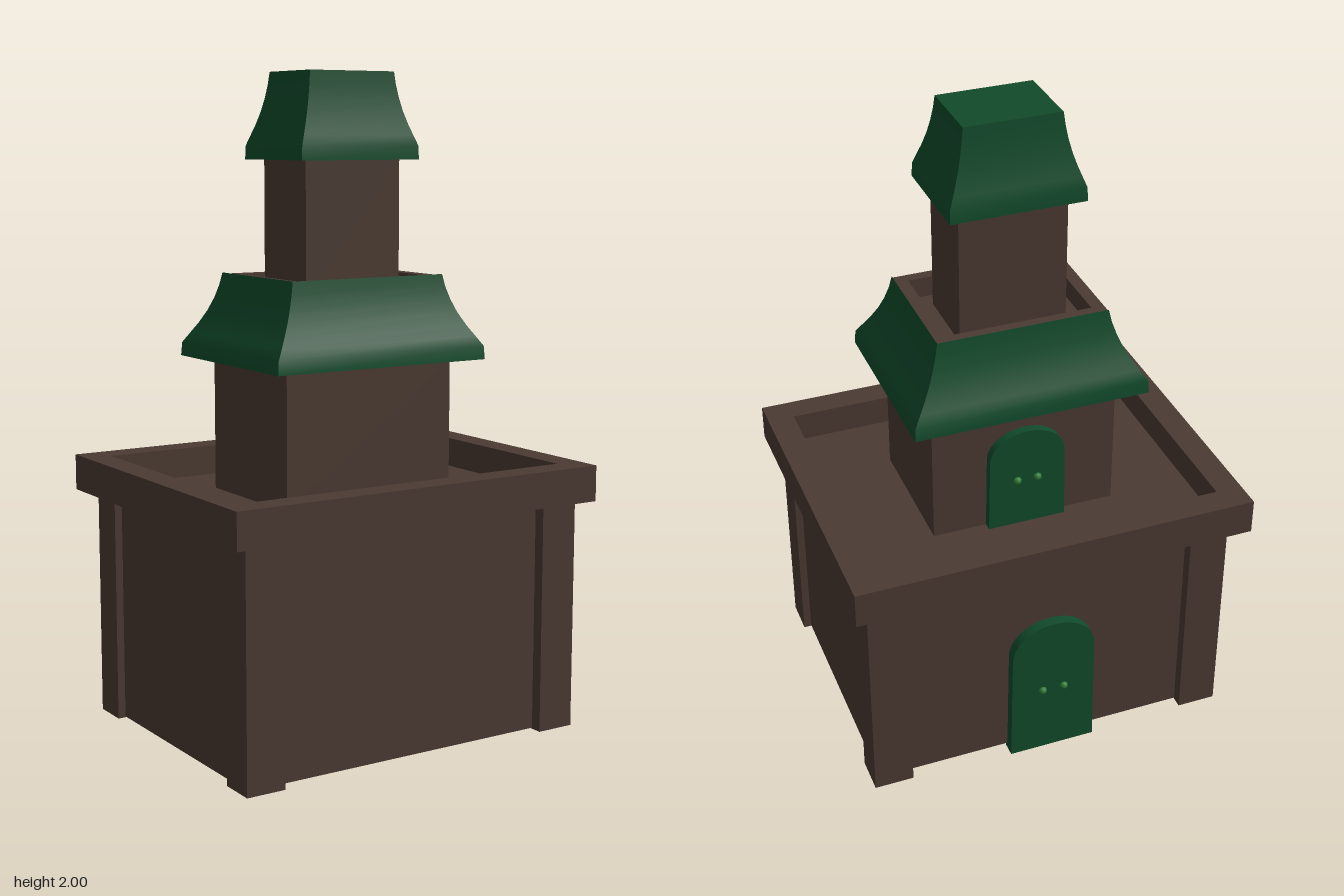
import * as THREE from 'three';

const brown = new THREE.MeshStandardMaterial({ color: 0x4a3a32 });
brown.name = 'dark brown';
const green = new THREE.MeshStandardMaterial({ color: 0x114a2b });
green.name = 'dark green';
const leaf = new THREE.MeshStandardMaterial({ color: 0x2f7a35 });
leaf.name = 'leaf green';

function add(parent, name, geometry, material, x = 0, y = 0, z = 0) {
  const mesh = new THREE.Mesh(geometry, material);
  mesh.name = name;
  mesh.position.set(x, y, z);
  parent.add(mesh);
  return mesh;
}

// Box given by half sizes in x and z and by its bottom and top
function block(parent, name, hx, hz, y0, y1, material, x = 0, z = 0) {
  return add(parent, name, new THREE.BoxGeometry(hx * 2, y1 - y0, hz * 2), material, x, (y0 + y1) / 2, z);
}

function rectangle(path, hx, hz) {
  path.moveTo(-hx, -hz);
  path.lineTo(hx, -hz);
  path.lineTo(hx, hz);
  path.lineTo(-hx, hz);
  path.closePath();
  return path;
}

// Rectangular ring, open in the middle
function frame(parent, name, hx, hz, ix, iz, y0, y1, z = 0) {
  const shape = rectangle(new THREE.Shape(), hx, hz);
  shape.holes.push(rectangle(new THREE.Path(), ix, iz));
  const geometry = new THREE.ExtrudeGeometry(shape, { depth: y1 - y0, bevelEnabled: false });
  geometry.rotateX(-Math.PI / 2);
  return add(parent, name, geometry, brown, 0, y0, z);
}

// Flared roof: four sides, each smooth along its height, with sharp hips
function flaredRoof(levels) {
  const positions = [], indices = [];
  const corners = [[-1, 1], [1, 1], [1, -1], [-1, -1]];
  for (let side = 0; side < 4; side++) {
    const a = corners[side], b = corners[(side + 1) % 4];
    const start = positions.length / 3;
    levels.forEach(([y, hx, hz], i) => {
      positions.push(a[0] * hx, y, a[1] * hz, b[0] * hx, y, b[1] * hz);
      if (i > 0) {
        const k = start + (i - 1) * 2;
        indices.push(k, k + 1, k + 3, k, k + 3, k + 2);
      }
    });
  }
  const geometry = new THREE.BufferGeometry();
  geometry.setAttribute('position', new THREE.Float32BufferAttribute(positions, 3));
  geometry.setIndex(indices);
  geometry.computeVertexNormals();
  return geometry;
}

// Flare of the eaves: [height share, share of the overhang]
const flare = [[0, 1], [0.16, 0.97], [0.28, 0.77], [0.4, 0.57], [0.55, 0.36], [0.7, 0.2], [0.85, 0.08], [1, 0]];

function roof(parent, name, bottom, top, y0, y1) {
  const levels = flare.map(([t, f]) => [
    y0 + (y1 - y0) * t,
    top[0] + (bottom[0] - top[0]) * f,
    top[1] + (bottom[1] - top[1]) * f,
  ]);
  add(parent, name, flaredRoof(levels), green);
  block(parent, name + 'Underside', bottom[0] - 0.003, bottom[1] - 0.003, y0, y0 + 0.008, brown);
}

// Arched double door on the back, with two knobs
function door(parent, name, halfWidth, height, arch, y0, zBack, depth, knobY, knobX, x) {
  const group = new THREE.Group();
  group.name = name;
  const spring = height - arch;
  const shape = new THREE.Shape();
  shape.moveTo(-halfWidth, 0);
  shape.lineTo(halfWidth, 0);
  shape.lineTo(halfWidth * 0.97, spring);
  shape.absellipse(0, spring, halfWidth * 0.97, arch, 0, Math.PI, false, 0);
  shape.closePath();
  add(group, name + 'Panel', new THREE.ExtrudeGeometry(shape, { depth, bevelEnabled: false, curveSegments: 16 }), green);
  for (const s of [-1, 1]) {
    add(group, name + 'Knob', new THREE.SphereGeometry(0.013, 12, 8), leaf, s * knobX, knobY, 0);
  }
  group.position.set(x, y0, zBack);
  parent.add(group);
}

export function createModel() {
  const model = new THREE.Group();
  model.name = 'tieredTower';

  // Hollow lower storey, open underneath, with corner pillars
  frame(model, 'lowerWalls', 0.55, 0.423, 0.535, 0.408, 0.018, 0.725, 0.01);
  for (const sx of [-1, 1]) {
    for (const sz of [-1, 1]) {
      block(model, 'cornerPillar', 0.061, 0.057, 0.015, 0.725, brown, sx * 0.513, 0.01 + sz * 0.402);
    }
  }

  // Terrace with a raised parapet
  frame(model, 'parapet', 0.622, 0.508, 0.54, 0.423, 0.72, 0.83);
  block(model, 'terraceFloor', 0.541, 0.424, 0.722, 0.738, brown);

  // Middle storey and its roof, with a sunken brown deck on top
  block(model, 'middleStorey', 0.288, 0.213, 0.735, 1.15, brown);
  roof(model, 'middleRoof', [0.362, 0.29], [0.262, 0.205], 1.147, 1.402);
  frame(model, 'deckRim', 0.261, 0.204, 0.222, 0.169, 1.33, 1.398);
  block(model, 'deckFloor', 0.223, 0.17, 1.32, 1.335, brown);

  // Top storey and its flat-capped roof
  block(model, 'topStorey', 0.164, 0.118, 1.33, 1.745, brown);
  roof(model, 'topRoof', [0.204, 0.163], [0.146, 0.114], 1.742, 2);
  block(model, 'topRoofCap', 0.146, 0.114, 1.992, 2, green);

  // Doors on the back
  door(model, 'lowerDoor', 0.138, 0.49, 0.11, 0, -0.447, 0.045, 0.235, 0.035, -0.01);
  door(model, 'terraceDoor', 0.122, 0.33, 0.09, 0.735, -0.24, 0.035, 0.16, 0.032, 0);

  return model;
}
